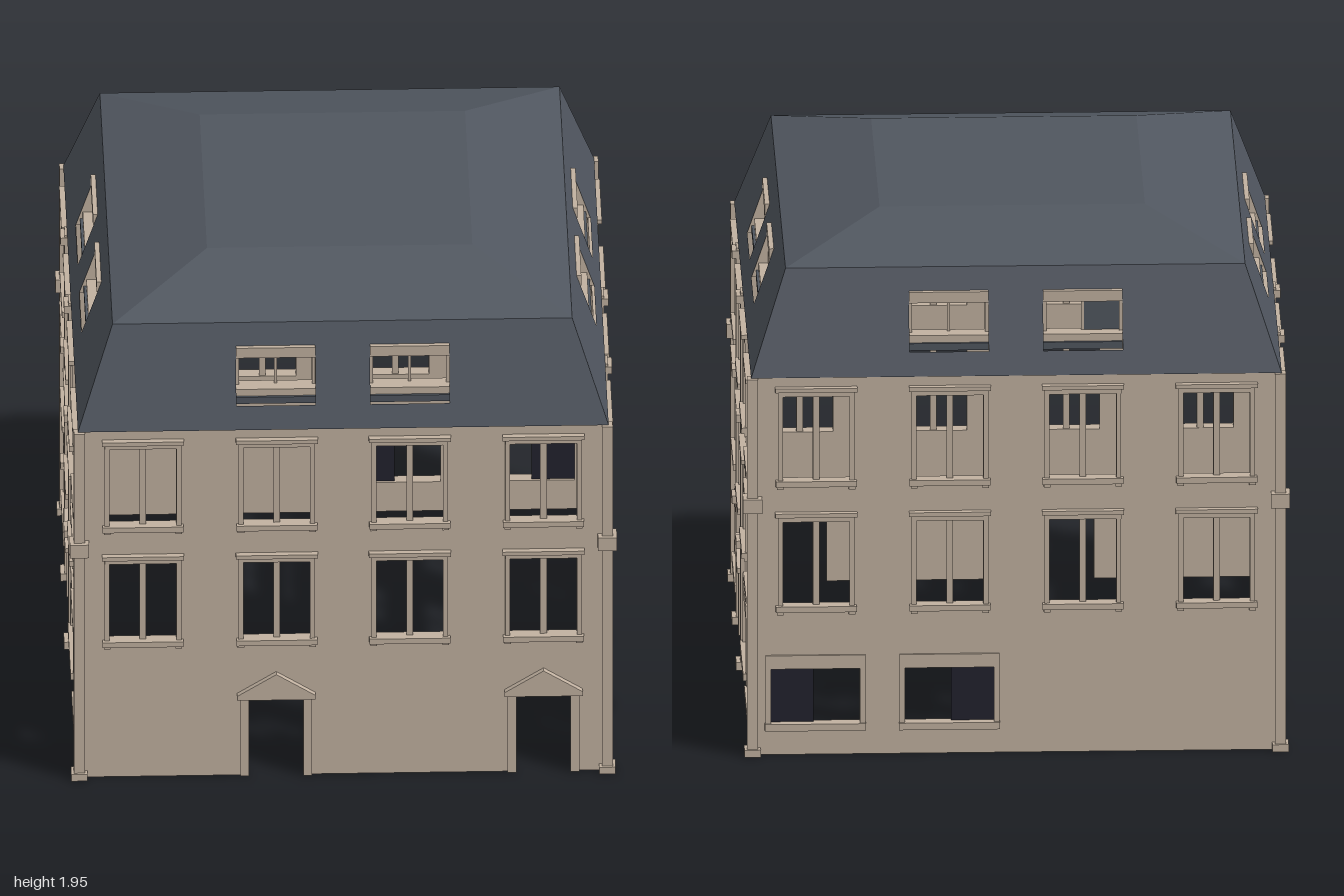
import * as THREE from 'three';

const material = (name, color) => {
  const m = new THREE.MeshStandardMaterial({ color, side: THREE.DoubleSide });
  m.name = name;
  return m;
};

export function createModel() {
  const stone = material('warm stone', 0xc1b1a0);
  const slate = material('roof slate', 0x50565f);
  const glass = material('dark glass', 0x21212d);
  const paint = material('blue door paint', 0x24405c);

  const WALL = 0.965, IN = 0.935, EAVE = 1.46, BREAK = 1.84, TOP = 1.95;
  const slopeZ = (y) => 0.97 - (y - EAVE) * 0.13 / (BREAK - EAVE);
  const COLS = [-0.732, -0.243, 0.243, 0.732];

  const add = (parent, name, geo, mat) => {
    const mesh = new THREE.Mesh(geo, mat);
    mesh.name = name;
    parent.add(mesh);
    return mesh;
  };
  // box given by its extents
  const box = (parent, name, x0, x1, y0, y1, z0, z1, mat = stone) => {
    const mesh = add(parent, name, new THREE.BoxGeometry(x1 - x0, y1 - y0, z1 - z0), mat);
    mesh.position.set((x0 + x1) / 2, (y0 + y1) / 2, (z0 + z1) / 2);
    return mesh;
  };
  const poly = (C, pts) => new C(pts.map((p) => new THREE.Vector2(...p)));
  const rect = (x0, x1, y0, y1) => poly(THREE.Path, [[x0, y0], [x0, y1], [x1, y1], [x1, y0]]);

  // one or both panes: 'L', 'R' or 'LR'
  const panes = (g, x, hw, y0, y1, which) => {
    if (which.includes('L')) box(g, 'leftPane', x - hw, x - 0.006, y0, y1, 0.945, 0.951, glass);
    if (which.includes('R')) box(g, 'rightPane', x + 0.006, x + hw, y0, y1, 0.945, 0.951, glass);
  };

  // tall window with moulded sill and hood
  function tallWindow(parent, x, y, which) {
    const g = new THREE.Group();
    g.name = 'tallWindow';
    parent.add(g);
    const t = y + 0.325;
    box(g, 'mullion', x - 0.012, x + 0.012, y, t, 0.94, 0.96);
    for (const s of [-1, 1]) {
      const c = x + s * 0.131;
      box(g, 'jamb', c - 0.009, c + 0.009, y, t, 0.945, 0.973);
      box(g, 'sillBracket', c - 0.012, c + 0.012, y - 0.035, y - 0.02, 0.96, 0.975);
    }
    box(g, 'sill', x - 0.148, x + 0.148, y - 0.022, y, 0.94, 0.986);
    box(g, 'lintel', x - 0.14, x + 0.14, t, t + 0.022, 0.945, 0.976);
    box(g, 'hood', x - 0.15, x + 0.15, t + 0.02, t + 0.036, 0.95, 0.988);
    panes(g, x, 0.121, y, t, which);
  }

  // wide ground floor window
  function wideWindow(parent, x, which) {
    const g = new THREE.Group();
    g.name = 'wideWindow';
    parent.add(g);
    for (const s of [-1, 1]) {
      const c = x + s * 0.173;
      box(g, 'jamb', c - 0.01, c + 0.01, 0.12, 0.335, 0.94, 0.973);
    }
    box(g, 'lintel', x - 0.183, x + 0.183, 0.333, 0.385, 0.945, 0.973);
    box(g, 'sill', x - 0.185, x + 0.185, 0.095, 0.122, 0.94, 0.982);
    panes(g, x, 0.163, 0.122, 0.333, which);
  }

  // doorway with pediment
  function doorway(parent, x, closed) {
    const g = new THREE.Group();
    g.name = 'doorway';
    parent.add(g);
    for (const s of [-1, 1]) {
      const c = x + s * 0.115;
      box(g, 'doorJamb', c - 0.016, c + 0.016, 0, 0.328, 0.94, 0.975);
    }
    const shape = poly(THREE.Shape, [[-0.143, 0.327], [0.143, 0.327], [0.143, 0.345], [0, 0.435], [-0.143, 0.345]]);
    add(g, 'pediment', new THREE.ExtrudeGeometry(shape, { depth: 0.025, bevelEnabled: false }), stone)
      .position.set(x, 0, 0.963);
    if (closed) box(g, 'door', x - 0.1, x + 0.1, 0.003, 0.328, 0.943, 0.957, paint);
  }

  // window set back in the steep roof
  function dormer(parent, x, paneSide) {
    const g = new THREE.Group();
    g.name = 'dormer';
    parent.add(g);
    const a = x - 0.145, b = x + 0.145;
    box(g, 'dormerLintel', a, b, 1.715, 1.757, 0.85, 0.886);
    box(g, 'dormerSill', a, b, 1.572, 1.6, 0.85, 0.915);
    box(g, 'dormerMullion', x - 0.006, x + 0.006, 1.6, 1.715, 0.858, 0.87);
    for (const s of [-1, 1]) {
      const c = x + s * 0.139;
      box(g, 'dormerJamb', c - 0.006, c + 0.006, 1.58, 1.73, 0.85, 0.88);
      // wedge-shaped cheek between window and roof slope
      const cheek = poly(THREE.Shape, [[-0.85, 1.545], [-slopeZ(1.545), 1.545], [-slopeZ(1.755), 1.755], [-0.85, 1.755]]);
      const m = add(g, 'dormerCheek', new THREE.ShapeGeometry(cheek), stone);
      m.rotation.y = Math.PI / 2;
      m.position.x = x + s * 0.145;
    }
    box(g, 'dormerApron', a, b, 1.545, 1.572, 0.85, 0.925, slate);
    if (paneSide) {
      const c = x + paneSide * 0.07;
      box(g, 'dormerPane', c - 0.064, c + 0.064, 1.6, 1.715, 0.861, 0.867, slate);
    }
  }

  // one side of the building, facing +z
  function facade(name, turn, spec) {
    const g = new THREE.Group();
    g.name = name;
    g.rotation.y = turn;

    const outline = [[-WALL, 0]];
    for (const x of spec.doors) outline.push([x - 0.1, 0], [x - 0.1, 0.328], [x + 0.1, 0.328], [x + 0.1, 0]);
    outline.push([WALL, 0], [WALL, EAVE], [-WALL, EAVE]);
    const wall = poly(THREE.Shape, outline);
    for (const x of COLS) {
      for (const y of [0.578, 1.063]) wall.holes.push(rect(x - 0.122, x + 0.122, y, y + 0.325));
    }
    for (const [x] of spec.wide) wall.holes.push(rect(x - 0.163, x + 0.163, 0.122, 0.333));
    const geo = new THREE.ExtrudeGeometry(wall, { depth: WALL - IN, bevelEnabled: false });
    add(g, 'wall', geo, stone).position.z = IN;

    COLS.forEach((x, i) => {
      tallWindow(g, x, 0.578, spec.second?.[i] ?? '');
      tallWindow(g, x, 1.063, '');
    });
    for (const [x, which] of spec.wide) wideWindow(g, x, which);
    for (const x of spec.doors) doorway(g, x, spec.closed);

    // pilasters with joint blocks
    for (const x of spec.pilasters ?? []) {
      box(g, 'pilaster', x - 0.032, x + 0.032, 0, EAVE, 0.96, 0.979);
      for (const y of [0.01, 0.48, 0.97, 1.43]) {
        box(g, 'pilasterBlock', x - 0.036, x + 0.036, y - 0.01, y + 0.02, 0.96, 0.995);
      }
    }

    // steep roof face: flat sheet leaned back by height
    const sheet = poly(THREE.Shape, [[-0.97, EAVE], [0.97, EAVE], [0.84, BREAK], [-0.84, BREAK]]);
    for (const x of [-0.245, 0.245]) sheet.holes.push(rect(x - 0.145, x + 0.145, 1.545, 1.757));
    const roof = new THREE.ShapeGeometry(sheet);
    const p = roof.attributes.position;
    for (let i = 0; i < p.count; i++) p.setZ(i, slopeZ(p.getY(i)));
    roof.computeVertexNormals();
    add(g, 'steepRoof', roof, slate);
    dormer(g, -0.245, 0);
    dormer(g, 0.245, spec.dormerPane ?? 0);
    return g;
  }

  const house = new THREE.Group();
  house.name = 'house';
  const side = (w) => ({
    doors: [-0.245], closed: true, pilasters: [-0.495, 0],
    wide: [[-0.735, w[0]], [0.237, w[1]], [0.735, w[2]]],
  });
  house.add(
    facade('frontFacade', 0, { doors: [-0.245, 0.732], wide: [] }),
    facade('rightFacade', Math.PI / 2, side(['LR', 'LR', 'LR'])),
    facade('backFacade', Math.PI, { doors: [], wide: [[-0.735, 'L'], [-0.245, 'R']], dormerPane: 1 }),
    facade('leftFacade', -Math.PI / 2, { ...side(['LR', 'L', 'L']), second: ['', '', 'R', 'R'] }),
  );

  // corner posts with blocks at the foot and mid height
  for (const sx of [-1, 1]) for (const sz of [-1, 1]) {
    const post = new THREE.Group();
    post.name = 'cornerPost';
    post.position.set(sx * 0.965, 0, sz * 0.965);
    box(post, 'post', -0.02, 0.02, 0, EAVE, -0.02, 0.02);
    box(post, 'footBlock', -0.03, 0.03, 0, 0.028, -0.03, 0.03);
    box(post, 'middleBlock', -0.035, 0.035, 0.945, 1.0, -0.035, 0.035);
    house.add(post);
  }

  // shallow hipped roof with flat top: four-sided frustum
  const h = TOP - BREAK;
  const cap = new THREE.CylinderGeometry(0.485 * Math.SQRT2, 0.84 * Math.SQRT2, h, 4, 1, true).toNonIndexed();
  cap.rotateY(Math.PI / 4);
  cap.computeVertexNormals();
  add(house, 'shallowRoof', cap, slate).position.y = BREAK + h / 2;
  const flat = add(house, 'flatRoof', new THREE.PlaneGeometry(0.97, 0.97), slate);
  flat.rotation.x = -Math.PI / 2;
  flat.position.y = TOP;
  return house;
}
